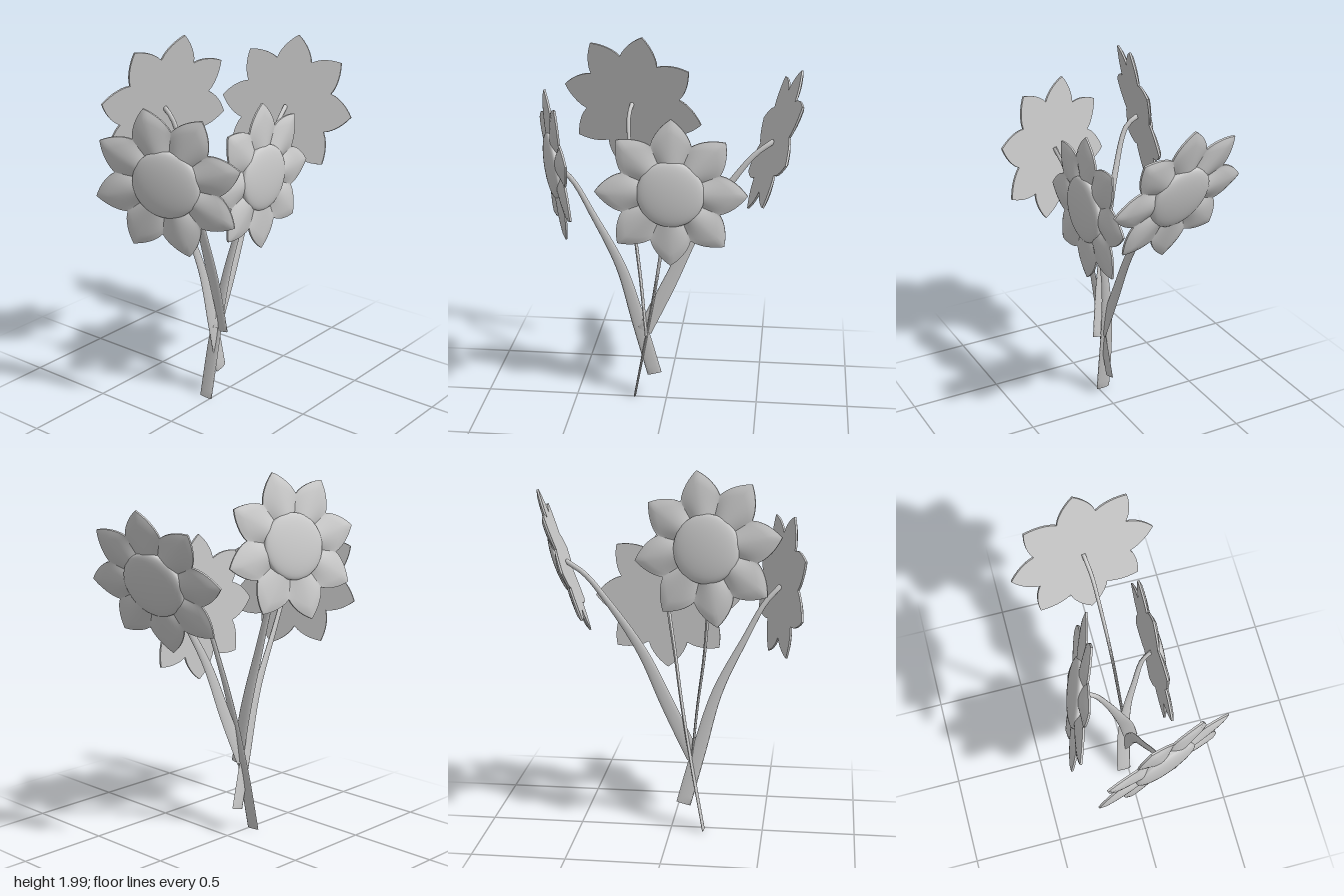
import * as THREE from 'three';

const PETALS = 8;
const HALF = Math.PI / PETALS;
const TIP = 0.395, VALLEY = 0.275;

const material = new THREE.MeshStandardMaterial({ color: 0xcccccc });
const thinMaterial = new THREE.MeshStandardMaterial({ color: 0xcccccc, side: THREE.DoubleSide });
const vec = (a) => new THREE.Vector3(...a);

// Petal outline radius; u runs from -1 to 1 across one petal
const edgeRadius = (u) => VALLEY + (TIP - VALLEY) * Math.pow(1 - Math.abs(u), 0.9);

function gridIndices(rows, cols) {
  const index = [];
  for (let i = 0; i < rows; i++) {
    for (let j = 0; j < cols; j++) {
      const a = i * (cols + 1) + j, b = a + cols + 1;
      index.push(a, b, a + 1, b, b + 1, a + 1);
    }
  }
  return index;
}

function surface(positions, index) {
  const geometry = new THREE.BufferGeometry();
  geometry.setAttribute('position', new THREE.Float32BufferAttribute(positions, 3));
  geometry.setIndex(index);
  geometry.computeVertexNormals();
  return geometry;
}

// Puffed front of one petal, pointing along +y and bulging along +z
function petalGeometry() {
  const rows = 8, cols = 16, positions = [];
  for (let i = 0; i <= rows; i++) {
    const s = i / rows;
    for (let j = 0; j <= cols; j++) {
      const u = (2 * j) / cols - 1;
      const r = 0.13 + (edgeRadius(u) - 0.13) * s;
      const angle = Math.PI / 2 + u * HALF;
      const z = 0.004 + 0.022 * (1 - u * u) * Math.sqrt(1 - s * s);
      positions.push(r * Math.cos(angle), r * Math.sin(angle), z);
    }
  }
  return surface(positions, gridIndices(rows, cols));
}

// Thin flat plate with the whole flower outline
function backPlateGeometry() {
  const points = [], steps = 12;
  for (let k = 0; k < PETALS; k++) {
    for (let j = 0; j < steps; j++) {
      const u = (2 * j) / steps - 1;
      const angle = Math.PI / 2 + (2 * k + u) * HALF;
      const r = edgeRadius(u);
      points.push(new THREE.Vector2(r * Math.cos(angle), r * Math.sin(angle)));
    }
  }
  const geometry = new THREE.ExtrudeGeometry(new THREE.Shape(points), { depth: 0.01, bevelEnabled: false });
  return geometry.translate(0, 0, -0.006);
}

// Shallow dome in the middle of the flower
function domeGeometry() {
  const geometry = new THREE.SphereGeometry(0.175, 40, 10, 0, Math.PI * 2, 0, Math.PI / 2);
  return geometry.rotateX(Math.PI / 2).scale(1, 1, 0.036 / 0.175).translate(0, 0, 0.018);
}

function rimGeometry() {
  const geometry = new THREE.CylinderGeometry(0.175, 0.175, 0.018, 40, 1, true);
  return geometry.rotateX(Math.PI / 2).translate(0, 0, 0.009);
}

// Tapered flat stem: wide in its bending plane, thin along the given axis
function stemGeometry(path, thinAxis) {
  const curve = new THREE.CatmullRomCurve3(path.map(vec));
  const rows = 28, cols = 12, positions = [];
  const thin = vec(thinAxis);
  for (let i = 0; i <= rows; i++) {
    const t = i / rows;
    const center = curve.getPointAt(t);
    const tangent = curve.getTangentAt(t);
    const wide = new THREE.Vector3().crossVectors(tangent, thin).normalize();
    const side = new THREE.Vector3().crossVectors(wide, tangent).normalize();
    const halfWide = THREE.MathUtils.lerp(0.04, 0.014, THREE.MathUtils.smoothstep(t, 0.1, 0.95));
    const halfThin = THREE.MathUtils.lerp(0.006, 0.011, t);
    for (let j = 0; j <= cols; j++) {
      const a = (j / cols) * Math.PI * 2;
      const p = center.clone()
        .addScaledVector(wide, halfWide * Math.cos(a))
        .addScaledVector(side, halfThin * Math.sin(a));
      positions.push(p.x, p.y, p.z);
    }
  }
  const index = gridIndices(rows, cols);
  // End caps
  for (let j = 1; j < cols - 1; j++) {
    const e = rows * (cols + 1);
    index.push(0, j, j + 1, e, e + j + 1, e + j);
  }
  return surface(positions, index);
}

// center, direction of one petal, facing normal, stem path from the foot up
const FLOWERS = [
  {
    name: 'frontFlower', center: [0.04, 1.26, 0.176], up: [0, 1, 0], normal: [0, 0, 1], thin: [1, 0, 0],
    stem: [[-0.178, 0, -0.028], [-0.105, 0.4, -0.012], [-0.05, 0.72, 0.02], [-0.01, 0.97, 0.07],
      [0.03, 1.19, 0.125], [0.04, 1.25, 0.172]],
  },
  {
    name: 'rightFlower', center: [-0.575, 1.36, 0.065], up: [-0.065, 0.385, -0.09],
    normal: [-0.939, -0.08, 0.337], thin: [0, 0, 1],
    stem: [[-0.067, 0.14, -0.012], [-0.15, 0.45, 0], [-0.245, 0.78, 0.01], [-0.39, 1.08, 0.025],
      [-0.49, 1.27, 0.04], [-0.57, 1.36, 0.06]],
  },
  {
    name: 'leftFlower', center: [0.56, 1.49, -0.055], up: [0.132, 0.375, -0.01],
    normal: [0.928, -0.33, -0.17], thin: [0, 0, 1],
    stem: [[-0.12, 0.405, 0.005], [0.02, 0.7, 0], [0.16, 1, -0.008], [0.34, 1.27, -0.022],
      [0.46, 1.42, -0.034], [0.555, 1.49, -0.052]],
  },
  {
    name: 'backFlower', center: [-0.21, 1.61, -0.265], up: [0.065, 0.39, 0.09],
    normal: [0.25, 0.176, -0.95], thin: [1, 0, 0],
    stem: [[-0.108, 0.39, 0.03], [-0.14, 0.7, -0.005], [-0.18, 1, -0.055], [-0.205, 1.3, -0.12],
      [-0.222, 1.56, -0.2], [-0.212, 1.61, -0.262]],
  },
];

export function createModel() {
  const model = new THREE.Group();
  model.name = 'flowerBunch';
  const petal = petalGeometry(), plate = backPlateGeometry();
  const dome = domeGeometry(), rim = rimGeometry();

  const add = (parent, name, geometry, mat = material) => {
    const mesh = new THREE.Mesh(geometry, mat);
    mesh.name = name;
    parent.add(mesh);
    return mesh;
  };

  for (const f of FLOWERS) {
    const head = new THREE.Group();
    head.name = f.name;
    add(head, 'backPlate', plate);
    add(head, 'centerDome', dome);
    add(head, 'centerRim', rim);
    for (let k = 0; k < PETALS; k++) {
      add(head, 'petal', petal, thinMaterial).rotation.z = k * 2 * HALF;
    }
    const z = vec(f.normal).normalize();
    const x = new THREE.Vector3().crossVectors(vec(f.up), z).normalize();
    const y = new THREE.Vector3().crossVectors(z, x);
    head.quaternion.setFromRotationMatrix(new THREE.Matrix4().makeBasis(x, y, z));
    head.position.set(...f.center);
    model.add(head);

    add(model, f.name + 'Stem', stemGeometry(f.stem, f.thin), thinMaterial);
  }
  return model;
}
